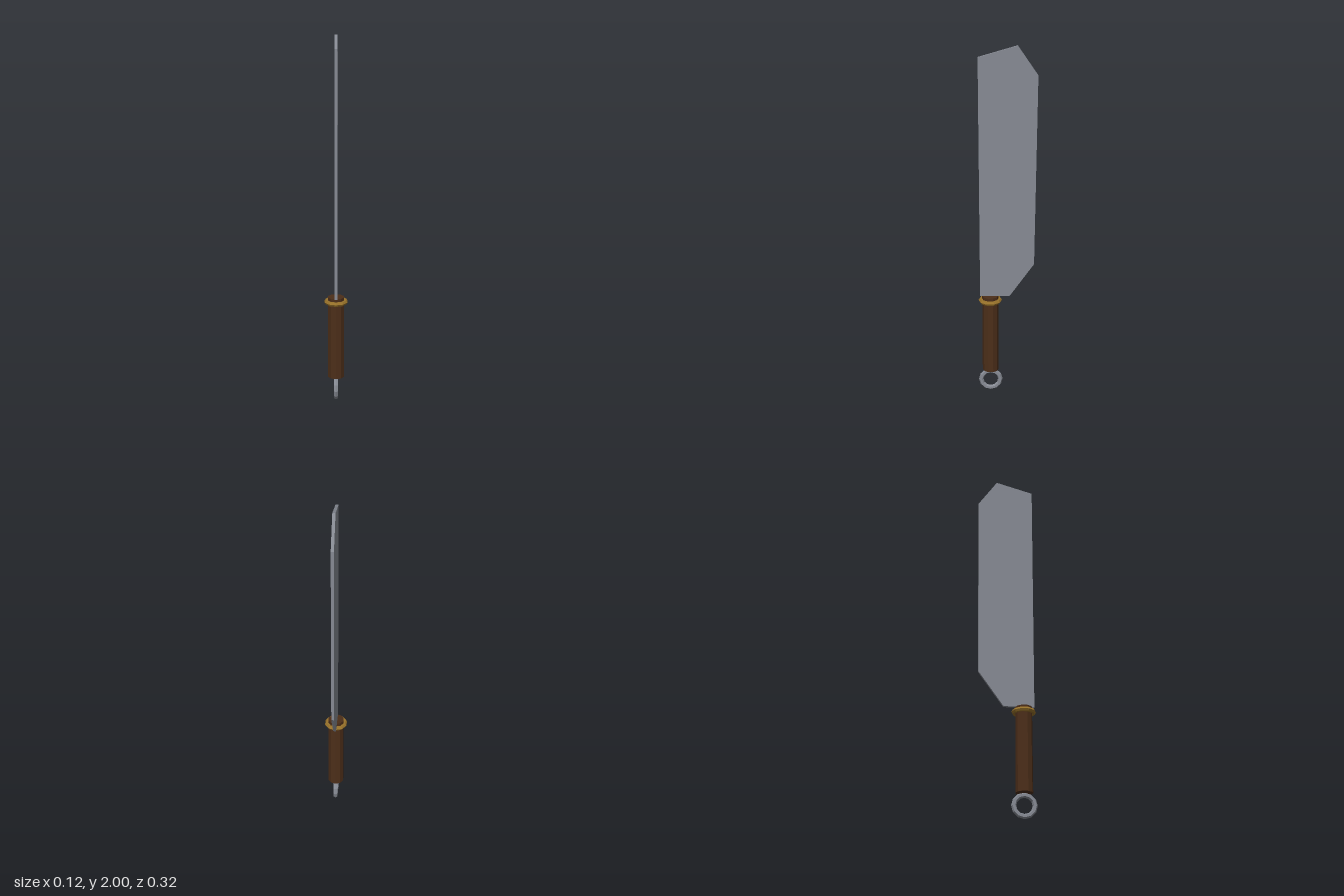
import * as THREE from 'three';

export function createModel() {
  const group = new THREE.Group();
  group.name = 'machete';

  const material = (name, color) => {
    const m = new THREE.MeshStandardMaterial({ color, flatShading: true });
    m.name = name;
    return m;
  };
  const steel = material('steel', 0x868a93);
  const wood = material('dark wood', 0x4c2e19);
  const brass = material('brass', 0x98722a);

  const gripZ = 0.0925; // the handle axis sits toward the spine of the blade

  const add = (name, geometry, mat, y, z) => {
    const mesh = new THREE.Mesh(geometry, mat);
    mesh.name = name;
    mesh.position.set(0, y, z);
    group.add(mesh);
    return mesh;
  };

  // Blade: flat plate, outlined as (-z, y) and turned into the YZ plane
  const thickness = 0.016;
  const outline = [
    [-0.149, 0.6], [0.016, 0.6], [0.151, 0.792],
    [0.163, 1.846], [0.057, 2.0], [-0.149, 1.941],
  ].map(([x, y]) => new THREE.Vector2(x, y));
  const bladeGeometry = new THREE.ExtrudeGeometry(new THREE.Shape(outline), {
    depth: thickness, bevelEnabled: false,
  });
  bladeGeometry.translate(0, 0, -thickness / 2);
  bladeGeometry.rotateY(Math.PI / 2);
  add('blade', bladeGeometry, steel, 0, 0);

  // Handle
  const handleBottom = 0.135, handleTop = 0.6;
  add('handle',
    new THREE.CylinderGeometry(0.045, 0.046, handleTop - handleBottom, 10),
    wood, (handleBottom + handleTop) / 2, gripZ);

  // Brass collar round the top of the handle
  const collar = new THREE.TorusGeometry(0.053, 0.0125, 6, 10);
  collar.rotateX(Math.PI / 2);
  collar.rotateY(Math.PI / 2);
  add('collar', collar, brass, 0.573, gripZ);

  // Hanging ring below the handle
  const ring = new THREE.TorusGeometry(0.055, 0.0135, 6, 12);
  ring.rotateY(Math.PI / 2);
  add('hangingRing', ring, steel, 0.0685, gripZ);

  return group;
}
